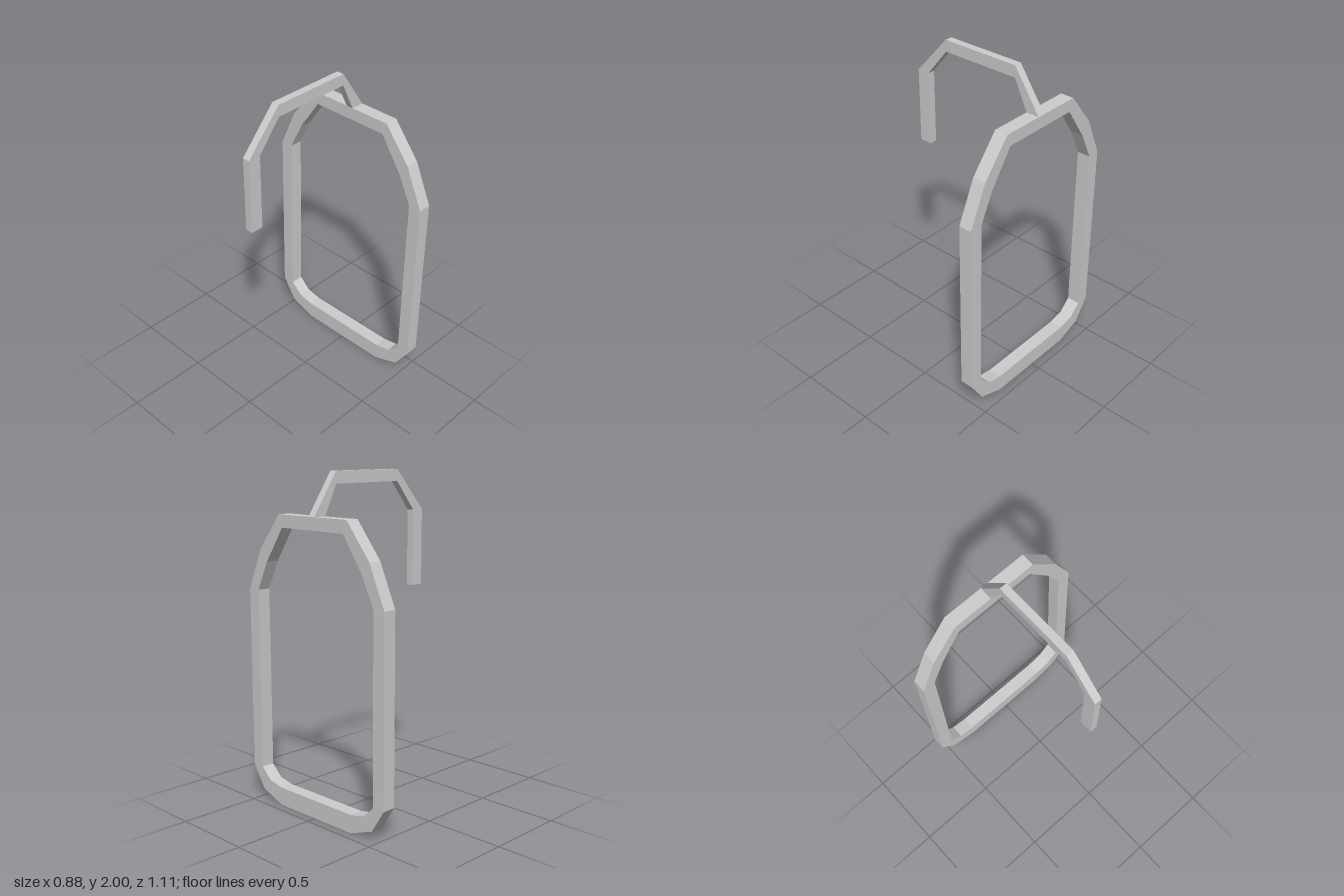
import * as THREE from 'three';

// Extrude a flat outline, centred on its own thickness
function slab(shape, depth) {
  const geometry = new THREE.ExtrudeGeometry(shape, { depth, bevelEnabled: false });
  return geometry.translate(0, 0, -depth / 2);
}

const toPoints = (list) => list.map(([x, y]) => new THREE.Vector2(x, y));

// Mirror a half outline, listed top to bottom, into a counter-clockwise loop
function mirrored(half) {
  return toPoints([...half.map(([x, y]) => [-x, y]), ...half.toReversed()]);
}

export function createModel() {
  const model = new THREE.Group();
  model.name = 'hookedRing';

  const metal = new THREE.MeshStandardMaterial({ color: 0xcccccc, flatShading: true });
  metal.name = 'greyMetal';

  // Upright ring: faceted outer outline with a matching opening
  const ringShape = new THREE.Shape(mirrored([
    [0.277, 1.755], [0.446, 1.545], [0.555, 1.3], [0.555, 0.2], [0.465, 0.06], [0.3, 0],
  ]));
  ringShape.holes.push(new THREE.Path(mirrored([
    [0.25, 1.68], [0.39, 1.475], [0.475, 1.3], [0.475, 0.2], [0.4, 0.13], [0.3, 0.11],
  ])));
  const ring = new THREE.Mesh(slab(ringShape, 0.082), metal);
  ring.name = 'ringFrame';
  ring.rotation.y = Math.PI / 2;
  ring.position.x = 0.401;
  model.add(ring);

  // Hook rising from the top of the ring and turning down on the far side
  const hookShape = new THREE.Shape(toPoints([
    [-0.442, 1.295], [-0.363, 1.295], [-0.363, 1.755], [-0.22, 1.93], [0.275, 1.93],
    [0.36, 1.755], [0.442, 1.755], [0.275, 2], [-0.222, 2], [-0.442, 1.755],
  ]));
  const hook = new THREE.Mesh(slab(hookShape, 0.046), metal);
  hook.name = 'hook';
  model.add(hook);

  return model;
}
